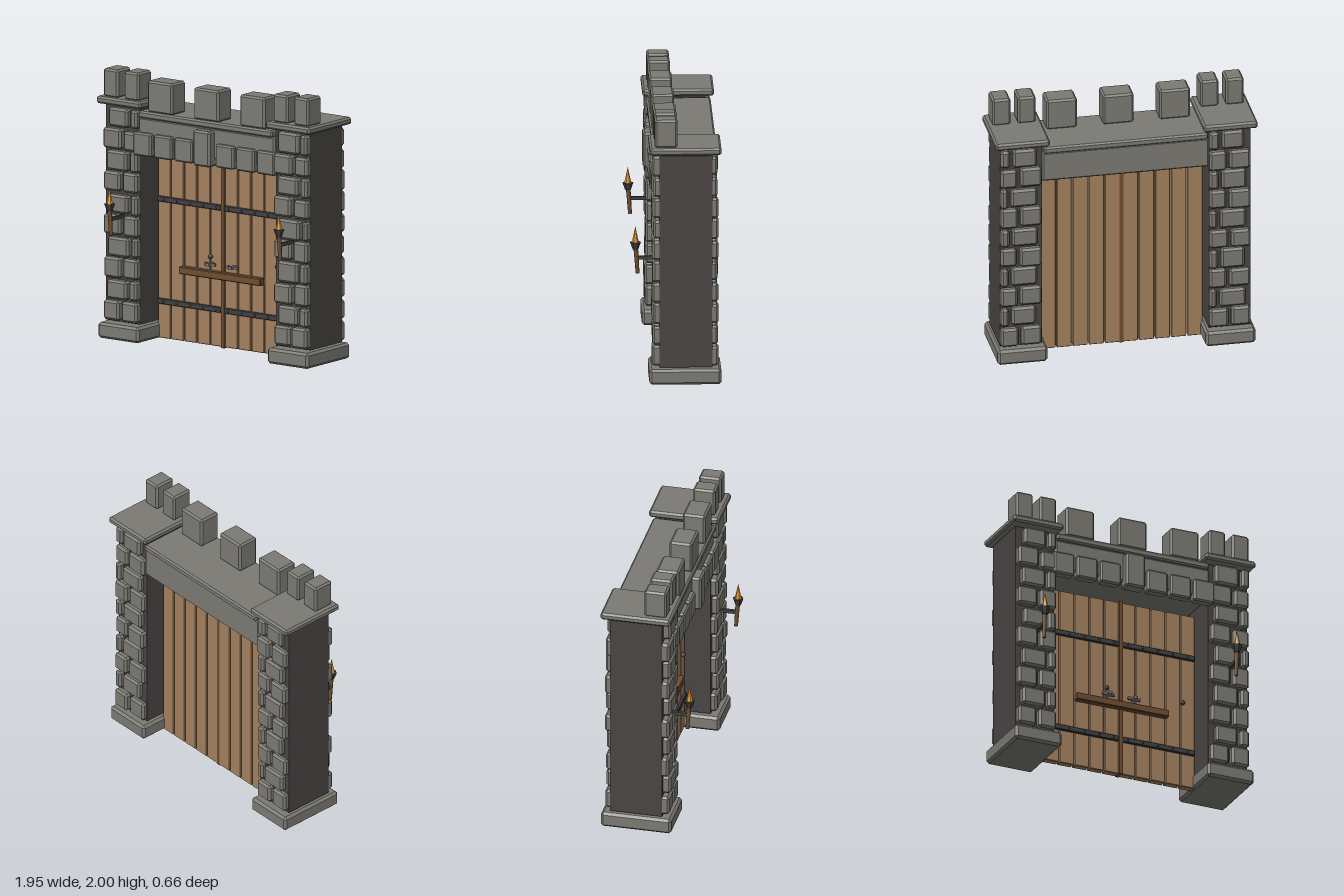
import * as THREE from 'three';
import { ConvexGeometry } from 'three/addons/geometries/ConvexGeometry.js';

const mat = (name, color) => Object.assign(new THREE.MeshStandardMaterial({ color }), { name });

// Box with chamfered edges, given by its min and max corners
function chamferBox(a, b, c = 0.012) {
  const pts = [];
  const h = a.map((v, i) => (b[i] - v) / 2);
  for (const sx of [-1, 1]) for (const sy of [-1, 1]) for (const sz of [-1, 1])
    for (let k = 0; k < 3; k++) {
      const p = [sx, sy, sz].map((s, i) => s * (h[i] - (i === k ? 0 : c)));
      pts.push(new THREE.Vector3(...p));
    }
  return new ConvexGeometry(pts).translate(a[0] + h[0], a[1] + h[1], a[2] + h[2]);
}

function seeded(seed) {
  return () => {
    seed = (seed * 16807) % 2147483647;
    return seed / 2147483647;
  };
}

export function createModel() {
  const stone = mat('stone', 0x7b7a73);
  const mortar = mat('dark mortar', 0x4a4545);
  const plankWood = mat('plank wood', 0xa3815e);
  const darkWood = mat('dark wood', 0x6f4e31);
  const iron = mat('dark iron', 0x414144);
  const steel = mat('pale steel', 0x77777a);
  const flameMat = mat('flame', 0xe09628);

  const gate = new THREE.Group();
  gate.name = 'castleGate';
  const add = (parent, name, geometry, material, x = 0, y = 0, z = 0) => {
    const mesh = new THREE.Mesh(geometry, material);
    mesh.name = name;
    mesh.position.set(x, y, z);
    parent.add(mesh);
    return mesh;
  };
  const group = (name) => {
    const g = new THREE.Group();
    g.name = name;
    gate.add(g);
    return g;
  };
  const block = (parent, name, a, b, c, material = stone) =>
    add(parent, name, chamferBox(a, b, c), material);
  const box = (parent, name, a, b, material) =>
    add(parent, name, new THREE.BoxGeometry(b[0] - a[0], b[1] - a[1], b[2] - a[2]), material,
      (a[0] + b[0]) / 2, (a[1] + b[1]) / 2, (a[2] + b[2]) / 2);

  // Towers: dark core faced front and back with uneven stone courses
  const random = seeded(4711);
  const jitter = (amount) => (random() - 0.5) * amount;
  for (const side of [-1, 1]) {
    const tower = group(side > 0 ? 'leftTower' : 'rightTower');
    const span = (lo, hi) => (side > 0 ? [lo, hi] : [-hi, -lo]);
    const [x0, x1] = span(0.62, 0.93);
    box(tower, 'towerCore', [x0, 0.127, -0.26], [x1, 1.73, 0.127], mortar);
    const [b0, b1] = span(0.587, 0.958);
    block(tower, 'towerBase', [b0, 0, -0.325], [b1, 0.116, 0.2], 0.018);
    const [c0, c1] = span(0.571, 0.973);
    block(tower, 'towerCap', [c0, 1.742, -0.325], [c1, 1.795, 0.197], 0.014);
    for (const [lo, hi] of [[0.612, 0.746], [0.8, 0.934]]) {
      const [m0, m1] = span(lo, hi);
      block(tower, 'towerMerlon', [m0, 1.79, -0.005], [m1, 2, 0.16], 0.014);
    }
    for (const front of [true, false]) {
      for (let row = 0; row < 10; row++) {
        // even courses have two similar stones, odd ones an inset large and a small stone
        const even = row % 2 === 0;
        const split = x0 + (even ? 0.16 : 0.228) + jitter(0.025);
        const start = x0 + (even ? 0.006 : 0.045 + jitter(0.02));
        const y = 0.132 + row * 0.16;
        for (const [s, e] of [[start, split], [split + 0.022, x1]]) {
          const top = Math.min(y + 0.15 + jitter(0.016), 1.73);
          const bottom = y + random() * 0.012;
          const out = 0.17 + random() * 0.012;
          const z = front ? [0.11, out] : [-0.125 - out, -0.24];
          block(tower, front ? 'frontStone' : 'backStone', [s, bottom, z[0]], [e, top, z[1]], 0.016);
        }
      }
    }
  }

  // Lintel with its top slab, battlements and the row of hanging stones
  const lintel = group('lintel');
  block(lintel, 'lintelBeam', [-0.62, 1.445, -0.28], [0.62, 1.675, 0.15], 0.012);
  block(lintel, 'lintelSlab', [-0.61, 1.672, -0.3], [0.61, 1.725, 0.168], 0.012);
  for (const x of [-0.42, 0, 0.42])
    block(lintel, 'battlement', [x - 0.114, 1.722, -0.01], [x + 0.114, 1.957, 0.158], 0.014);
  for (const side of [-1, 1])
    for (const x of [0.188, 0.375, 0.563])
      block(lintel, 'archStone', [side * x - 0.082, 1.395, 0.11], [side * x + 0.082, 1.567, 0.187], 0.012);
  block(lintel, 'keystone', [-0.076, 1.392, 0.11], [0.076, 1.657, 0.217], 0.014);

  // Double door: planks, centre strip, riveted iron bands, knobs
  const door = group('door');
  const rivet = new THREE.SphereGeometry(0.008, 8, 6);
  for (const side of [-1, 1]) {
    for (let i = 0; i < 5; i++) {
      const x = side * (0.066 + i * 0.12);
      block(door, 'plank', [x - 0.0555, 0.004, -0.12], [x + 0.0555, 1.382, -0.065], 0.004, plankWood);
    }
    for (const y of [0.28, 1.04]) {
      const [lo, hi] = side > 0 ? [0.016, 0.595] : [-0.595, -0.016];
      block(door, 'ironBand', [lo, y - 0.02, -0.07], [hi, y + 0.02, -0.045], 0.004, iron);
      for (let i = 0; i < 5; i++)
        add(door, 'rivet', rivet, iron, side * (0.055 + i * 0.12), y, -0.044);
    }
  }
  box(door, 'centreStrip', [-0.014, 0, -0.12], [0.014, 1.385, -0.045], darkWood);
  for (const x of [-0.113, 0.497])
    add(door, 'doorKnob', new THREE.SphereGeometry(0.018, 10, 8), iron, x, 0.667, -0.05);

  // Locking bar with two steel brackets above it
  block(door, 'lockingBar', [-0.372, 0.512, -0.06], [0.372, 0.568, -0.008], 0.006, darkWood);
  for (const x of [-0.105, 0.101]) {
    box(door, 'bracketPlate', [x - 0.048, 0.602, -0.045], [x + 0.048, 0.622, -0.025], steel);
    box(door, 'bracketPin', [x - 0.014, 0.602, -0.068], [x + 0.014, 0.624, 0.0], steel);
  }

  // Wall torches
  for (const side of [-1, 1]) {
    const torch = group(side > 0 ? 'leftTorch' : 'rightTorch');
    torch.position.set(side * 0.772, 0, 0);
    box(torch, 'torchArm', [-0.012, 0.905, 0.12], [0.012, 0.93, 0.29], iron);
    const stick = add(torch, 'torchStick',
      new THREE.CylinderGeometry(0.017, 0.014, 0.19, 8), darkWood, 0, 0.895, 0.287);
    stick.rotation.x = 0.07;
    const faceted = (g) => {
      const flat = g.toNonIndexed();
      flat.computeVertexNormals();
      return flat;
    };
    add(torch, 'torchCup', faceted(new THREE.CylinderGeometry(0.04, 0.02, 0.056, 6)), iron, 0, 1.007, 0.296);
    add(torch, 'torchFlame', faceted(new THREE.ConeGeometry(0.027, 0.13, 6)), flameMat, 0, 1.09, 0.297);
  }

  return gate;
}
